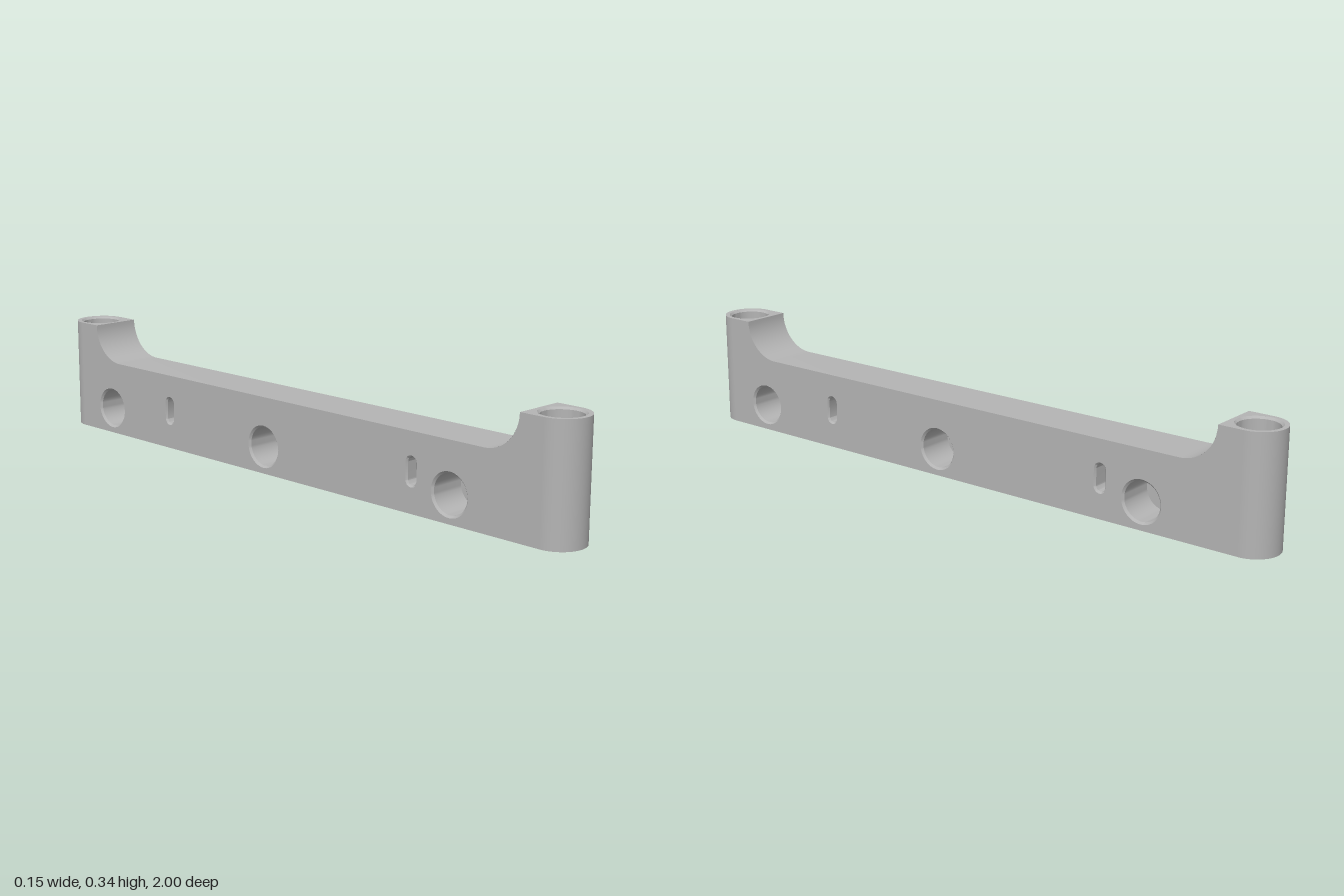
import * as THREE from 'three';
import { toCreasedNormals } from 'three/addons/utils/BufferGeometryUtils.js';

const H = 0.338;          // full height at the ends
const R = 0.076;          // half width and end rounding radius
const E = 1 - R;          // centre of each rounded end
const STEP = 0.85;        // inner edge of the raised ends
const FILLET = 0.11;      // radius between raised end and bar top
const SEG = 32;
const BORE = 0.063, CHAMFER = 0.006;

// Skin between equal-length rows of points
function loft(rows) {
  const n = rows[0].length, index = [];
  for (let i = 0; i < rows.length - 1; i++) {
    for (let j = 0; j < n - 1; j++) {
      const a = i * n + j, c = a + n;
      index.push(a, a + 1, c, a + 1, c + 1, c);
    }
  }
  const g = new THREE.BufferGeometry();
  g.setAttribute('position', new THREE.Float32BufferAttribute(rows.flat(2), 3));
  g.setIndex(index);
  return toCreasedNormals(g, 0.5);
}

const lathe = (points) => toCreasedNormals(
  new THREE.LatheGeometry(points.map(([r, y]) => new THREE.Vector2(r, y)), 48), 0.5);

const circle = (x, y, r) => new THREE.Path().absarc(x, y, r, 0, Math.PI * 2, false);

function slot(x, y, r) {
  const half = 0.024;
  const p = new THREE.Path();
  p.absarc(x, y + half, r, 0, Math.PI, false);
  p.absarc(x, y - half, r, Math.PI, Math.PI * 2, false);
  p.closePath();
  return p;
}

export function createModel() {
  const grey = new THREE.MeshStandardMaterial({ color: 0xb4b4b4, side: THREE.DoubleSide });
  grey.name = 'grey plastic';
  const model = new THREE.Group();
  model.name = 'bar';

  function add(parent, name, geometry) {
    const mesh = new THREE.Mesh(geometry, grey);
    mesh.name = name;
    parent.add(mesh);
    return mesh;
  }

  // Outline of a long side, with the scooped top
  function sideOutline() {
    const s = new THREE.Shape();
    const c = STEP - FILLET;
    s.moveTo(-E, 0);
    s.lineTo(E, 0);
    s.lineTo(E, H);
    s.lineTo(STEP, H);
    s.absarc(c, H, FILLET, 0, -Math.PI / 2, true);
    s.absarc(-c, H, FILLET, -Math.PI / 2, -Math.PI, true);
    s.lineTo(-E, H);
    return s;
  }

  // The bar repeats itself after a half turn, so build one half twice
  for (const turn of [0, Math.PI]) {
    const half = new THREE.Group();
    half.name = turn ? 'backHalf' : 'frontHalf';
    half.rotation.y = turn;
    model.add(half);

    // Long side with blind sockets and through slots
    const side = new THREE.Group();
    side.name = 'side';
    side.rotation.y = Math.PI / 2;
    side.position.x = R;
    half.add(side);
    const outline = sideOutline();
    for (const u of [-0.78, -0.077, 0.628]) {
      const y = 0.08, r = BORE;
      outline.holes.push(circle(u, y, r));
      const socket = add(side, 'socket', lathe([
        [r, 0], [r - CHAMFER, -CHAMFER], [r - CHAMFER, -0.115], [0, -0.115]]));
      socket.rotation.x = Math.PI / 2;
      socket.position.set(u, y, 0);
    }
    for (const u of [-0.495, 0.495]) {
      const y = 0.117, r = 0.02;
      outline.holes.push(slot(u, y, r));
      const ring = (radius, depth) =>
        slot(u, y, radius).getPoints(SEG).map((p) => [p.x, p.y, depth]);
      add(side, 'slotWall', loft([ring(r, 0), ring(r - 0.005, -0.005), ring(r - 0.005, -R)]));
    }
    add(side, 'sideFace', new THREE.ShapeGeometry(outline, SEG));

    // Rounded end wall
    const wall = add(half, 'endWall',
      new THREE.CylinderGeometry(R, R, H, SEG, 1, true, -Math.PI / 2, Math.PI));
    wall.position.set(0, H / 2, E);

    // Top face of the raised end
    const cap = new THREE.Shape();
    cap.absarc(0, -E, R, Math.PI, Math.PI * 2, false);
    cap.lineTo(R, -STEP);
    cap.lineTo(-R, -STEP);
    cap.holes.push(circle(0, -E, BORE));
    const top = add(half, 'endTop', new THREE.ShapeGeometry(cap, SEG));
    top.rotation.x = -Math.PI / 2;
    top.position.y = H;

    // Sockets from above and below, joined by a pin hole
    const b = BORE - CHAMFER, depth = 0.115;
    add(half, 'endBore', lathe([
      [BORE, H], [b, H - CHAMFER], [b, H - depth], [0.02, H - depth],
      [0.02, depth], [b, depth], [b, CHAMFER], [BORE, 0]])).position.z = E;
  }

  // Scooped upper surface between the ends
  const profile = [];
  for (let i = 0; i <= 16; i++) {
    const a = (i / 16) * Math.PI / 2;
    profile.push([-(STEP - FILLET) - FILLET * Math.cos(a), H - FILLET * Math.sin(a)]);
  }
  profile.push(...profile.map(([z, y]) => [-z, y]).reverse());
  add(model, 'scoopedTop', loft([-R, R].map((x) => profile.map(([z, y]) => [x, y, z]))));

  // Underside
  const base = new THREE.Shape();
  base.absarc(0, E, R, 0, Math.PI, false);
  base.absarc(0, -E, R, Math.PI, Math.PI * 2, false);
  base.holes.push(circle(0, E, BORE), circle(0, -E, BORE));
  add(model, 'underside', new THREE.ShapeGeometry(base, SEG)).rotation.x = Math.PI / 2;

  return model;
}
